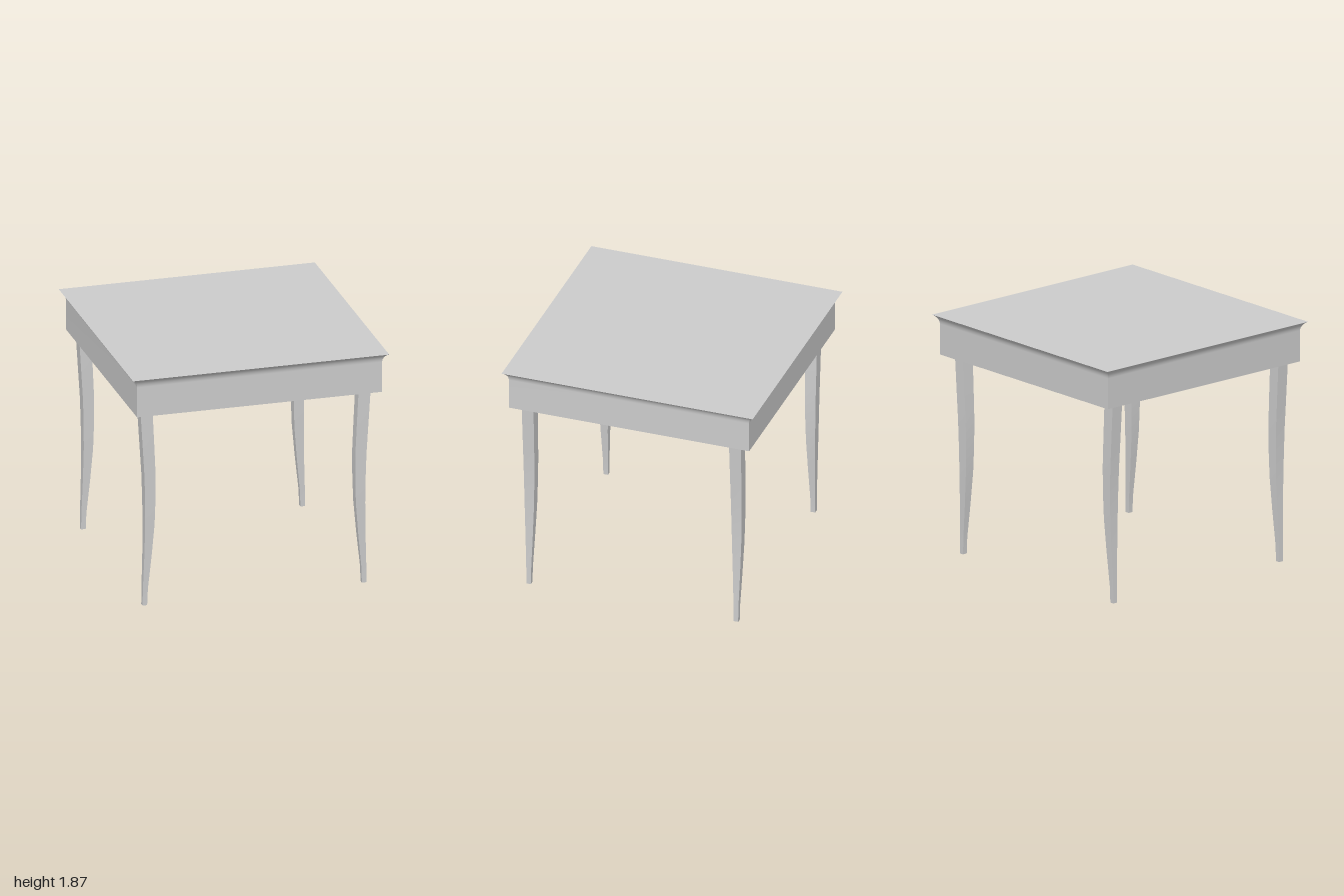
import * as THREE from 'three';

const material = new THREE.MeshStandardMaterial({ color: 0xcccccc });

// Square column through sections [y, half width, centre x], listed from top to bottom.
// Each box side keeps its own vertices, so corners stay sharp and curves stay smooth.
function squareLoft(sections, mirror = 1) {
  const n = sections.length - 1;
  const geometry = new THREE.BoxGeometry(2, n, 2, 1, n, 1);
  const p = geometry.attributes.position;
  for (let i = 0; i < p.count; i++) {
    const [y, half, cx = 0] = sections[Math.round(n / 2 - p.getY(i))];
    p.setXYZ(i, p.getX(i) * half + cx * mirror, y, p.getZ(i) * half);
  }
  geometry.computeVertexNormals();
  return geometry;
}

function addMesh(group, name, geometry, x = 0, z = 0) {
  const mesh = new THREE.Mesh(geometry, material);
  mesh.name = name;
  mesh.position.set(x, 0, z);
  group.add(mesh);
}

export function createModel() {
  const table = new THREE.Group();
  table.name = 'table';

  // Top with a concave moulding flaring out above a straight apron
  const apronHalf = 0.957, coveBase = 1.8, radius = 0.0786, sweep = 1.1, steps = 8;
  const top = [];
  for (let i = steps; i >= 0; i--) {
    const t = (sweep * i) / steps;
    top.push([coveBase + radius * Math.sin(t), apronHalf + radius * (1 - Math.cos(t))]);
  }
  top.push([1.56, apronHalf]);
  addMesh(table, 'tabletop', squareLoft(top));

  // Tapered legs, bowed inward along x
  const leg = [
    [1.56, 0.047, 0.8515], [1.3, 0.0455, 0.837], [1.05, 0.0435, 0.8235], [0.85, 0.0405, 0.8205],
    [0.65, 0.0365, 0.8225], [0.4, 0.0285, 0.835], [0.13, 0.0195, 0.853], [0, 0.018, 0.8565],
  ];
  for (const side of [1, -1]) {
    const geometry = squareLoft(leg, side);
    const label = side > 0 ? 'Left' : 'Right';
    addMesh(table, 'front' + label + 'Leg', geometry, -0.0085, 0.832);
    addMesh(table, 'back' + label + 'Leg', geometry, -0.0085, -0.819);
  }
  return table;
}
